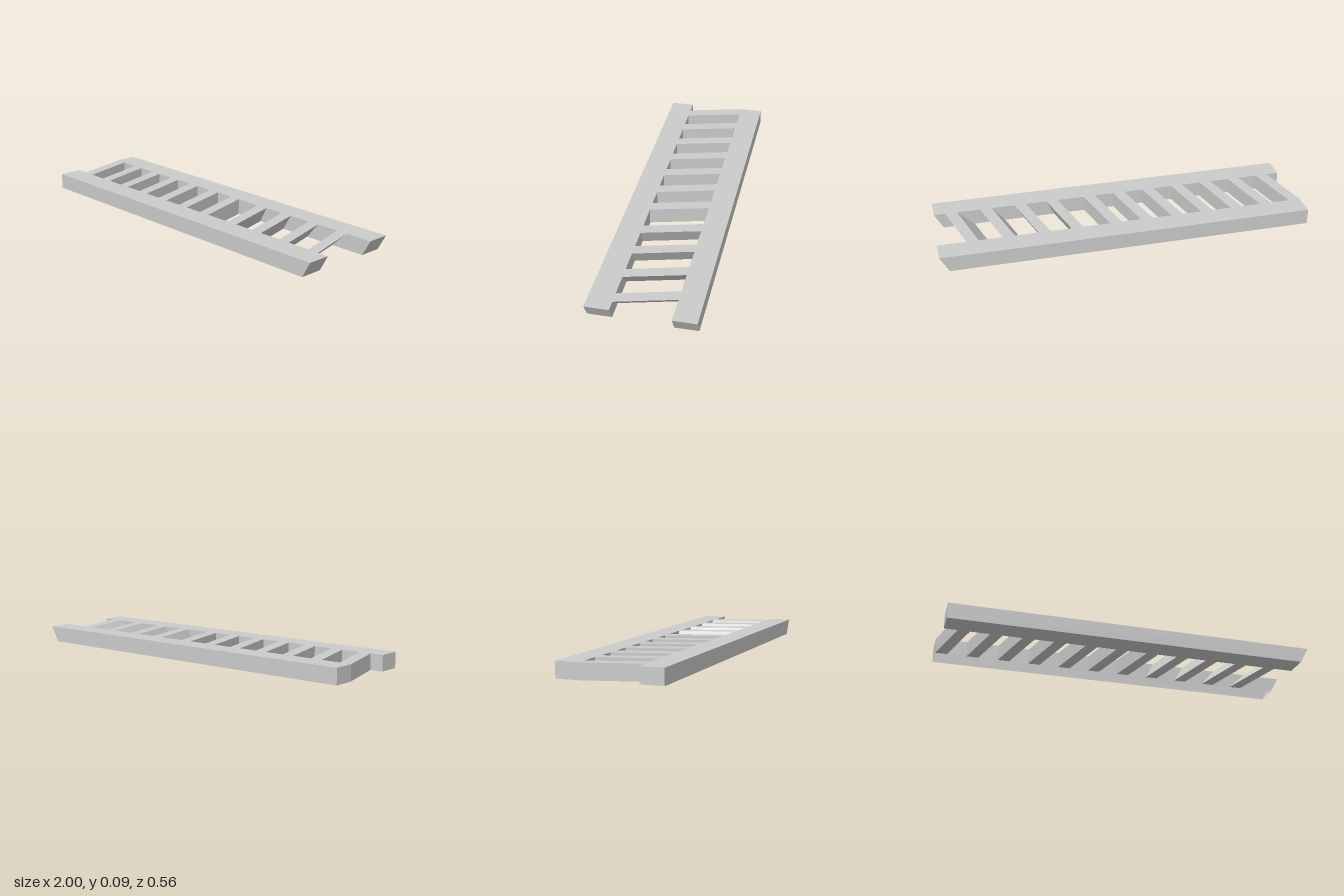
import * as THREE from 'three';

const H = 0.085;                                  // overall thickness
const BACK = { x: 1.0, z0: -0.278, z1: -0.155 };  // rear rail, open underneath
const FRONT = { x: 0.99, z0: 0.152, z1: 0.278 };  // front rail, solid
const END_SLANT = 0.047;                          // undercut of the +x ends
const PITCH = 0.1695, WIDTH = 0.064, SKEW = 0.08; // slat layout
const LEAN = [0, 0, 0, 0, 0, 0, 0, 0.042, 0.05, 0.07, 0.09];

const material = new THREE.MeshStandardMaterial({
  color: 0xcccccc, flatShading: true, side: THREE.DoubleSide,
});

// Mesh from four-cornered faces, corners counter-clockwise from outside
function quadMesh(name, quads) {
  const pos = [];
  for (const [a, b, c, d] of quads) for (const p of [a, b, c, a, c, d]) pos.push(...p);
  const geo = new THREE.BufferGeometry();
  geo.setAttribute('position', new THREE.Float32BufferAttribute(pos, 3));
  geo.computeVertexNormals();
  const mesh = new THREE.Mesh(geo, material);
  mesh.name = name;
  return mesh;
}

// Bottom and top x of a slat's left edge where it meets the rear rail
const slatEdge = (i) => {
  const x = -1 + i * PITCH;
  return [x, x + LEAN[i]];
};

// Solid rail: side profile with a slanted end, extruded in z
function solidRail({ x, z0, z1 }) {
  const s = new THREE.Shape([
    new THREE.Vector2(-x, 0), new THREE.Vector2(x - END_SLANT, 0),
    new THREE.Vector2(x, H), new THREE.Vector2(-x, H),
  ]);
  const geo = new THREE.ExtrudeGeometry(s, { depth: z1 - z0, bevelEnabled: false });
  geo.translate(0, 0, z0);
  const mesh = new THREE.Mesh(geo, material);
  mesh.name = 'frontRail';
  return mesh;
}

// Hollow rail: top, outer wall and ends, with inner wall panels between slats
function hollowRail({ x, z0, z1 }) {
  const xb = x - END_SLANT;
  const quads = [
    [[-x, H, z1], [x, H, z1], [x, H, z0], [-x, H, z0]],
    [[xb, 0, z0], [-x, 0, z0], [-x, H, z0], [x, H, z0]],
    [[-x, 0, z0], [-x, 0, z1], [-x, H, z1], [-x, H, z0]],
    [[xb, 0, z1], [xb, 0, z0], [x, H, z0], [x, H, z1]],
  ];
  LEAN.forEach((_, i) => {
    const [b0, t0] = slatEdge(i).map((v) => v + WIDTH);
    const [b1, t1] = i + 1 < LEAN.length ? slatEdge(i + 1) : [xb, x];
    quads.push([[b0, 0, z1], [b1, 0, z1], [t1, H, z1], [t0, H, z1]]);
  });
  return quadMesh('backRail', quads);
}

// Slat: skewed and leaning prism running between the rails
function slat(i) {
  const [b, t] = slatEdge(i);
  const ring = (z, dx) => [
    [b + dx, 0, z], [b + WIDTH + dx, 0, z], [t + WIDTH + dx, H, z], [t + dx, H, z],
  ];
  const r = ring(BACK.z1, 0), f = ring(FRONT.z0, SKEW);
  const quads = r.map((p, k) => {
    const n = (k + 1) % 4;
    return [p, r[n], f[n], f[k]];
  });
  return quadMesh('slat', quads);
}

export function createModel() {
  const group = new THREE.Group();
  group.name = 'slattedVent';
  group.add(solidRail(FRONT), hollowRail(BACK));
  const slats = new THREE.Group();
  slats.name = 'slats';
  LEAN.forEach((_, i) => slats.add(slat(i)));
  group.add(slats);
  return group;
}
